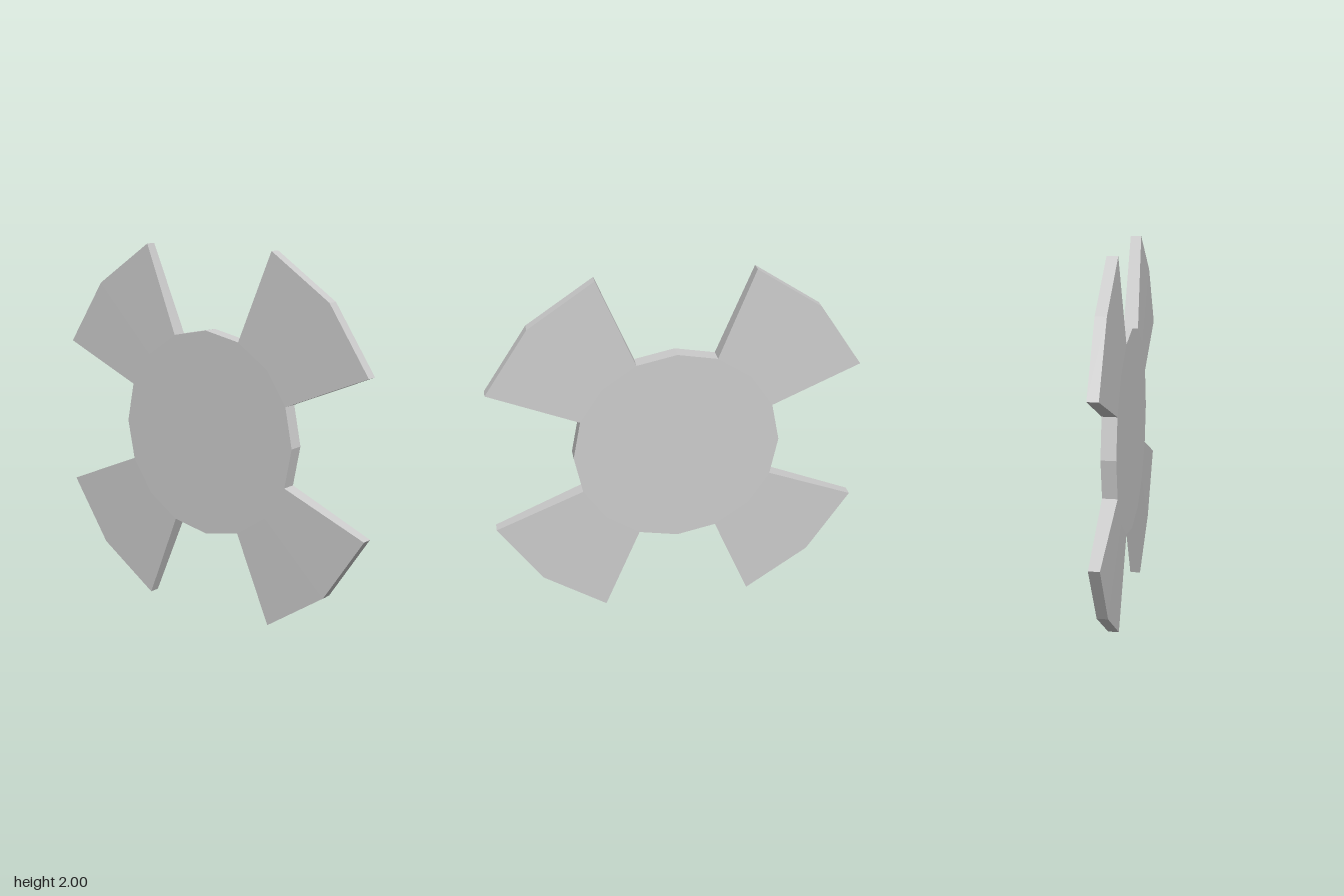
import * as THREE from 'three';

const STEP = Math.PI / 8;
const HUB = { r: 0.5625, h: 0.04 };    // radius and half thickness at the hub rim
const TIP = { r: 1.0824, h: 0.029 };   // the same at the tooth tips

// Point on a ring at a sixteenth step, on the left (+1) or right (-1) face
const at = (ring, i, side) => [side * ring.h, ring.r * Math.cos(i * STEP), ring.r * Math.sin(i * STEP)];

function facetedMesh(name, polygons, material) {
  const positions = [];
  for (const p of polygons) {
    for (let k = 1; k < p.length - 1; k++) positions.push(...p[0], ...p[k], ...p[k + 1]);
  }
  const geometry = new THREE.BufferGeometry();
  geometry.setAttribute('position', new THREE.Float32BufferAttribute(positions, 3));
  geometry.computeVertexNormals();
  const mesh = new THREE.Mesh(geometry, material);
  mesh.name = name;
  return mesh;
}

// Outward wall along a ring between steps i and i + 1
const rimWall = (ring, i) => [at(ring, i, 1), at(ring, i, -1), at(ring, i + 1, -1), at(ring, i + 1, 1)];

export function createModel() {
  const group = new THREE.Group();
  group.name = 'toothedWheel';
  const material = new THREE.MeshStandardMaterial({ color: 0xcccccc, flatShading: true });

  // Flat sixteen-sided hub, with rim walls only in the gaps between teeth
  const steps = Array.from({ length: 16 }, (_, i) => i);
  const hub = [
    steps.map((i) => at(HUB, i, 1)),
    steps.map((i) => at(HUB, i, -1)).reverse(),
  ];
  for (const i of steps) if (i % 4 === 0 || i % 4 === 3) hub.push(rimWall(HUB, i));
  group.add(facetedMesh('hub', hub, material));

  // Four flaring teeth, thinner towards the tips
  for (let t = 0; t < 4; t++) {
    const first = t * 4 + 1, last = first + 2;
    const faces = [];
    for (let i = first; i < last; i++) {
      const face = (s) => [at(HUB, i, s), at(TIP, i, s), at(TIP, i + 1, s), at(HUB, i + 1, s)];
      faces.push(face(1), face(-1).reverse(), rimWall(TIP, i));
    }
    const flank = (i) => [at(HUB, i, -1), at(TIP, i, -1), at(TIP, i, 1), at(HUB, i, 1)];
    faces.push(flank(first), flank(last).reverse());
    group.add(facetedMesh(`tooth${t + 1}`, faces, material));
  }

  // Stand the wheel on the ground
  for (const part of group.children) part.position.y = 1;
  return group;
}
